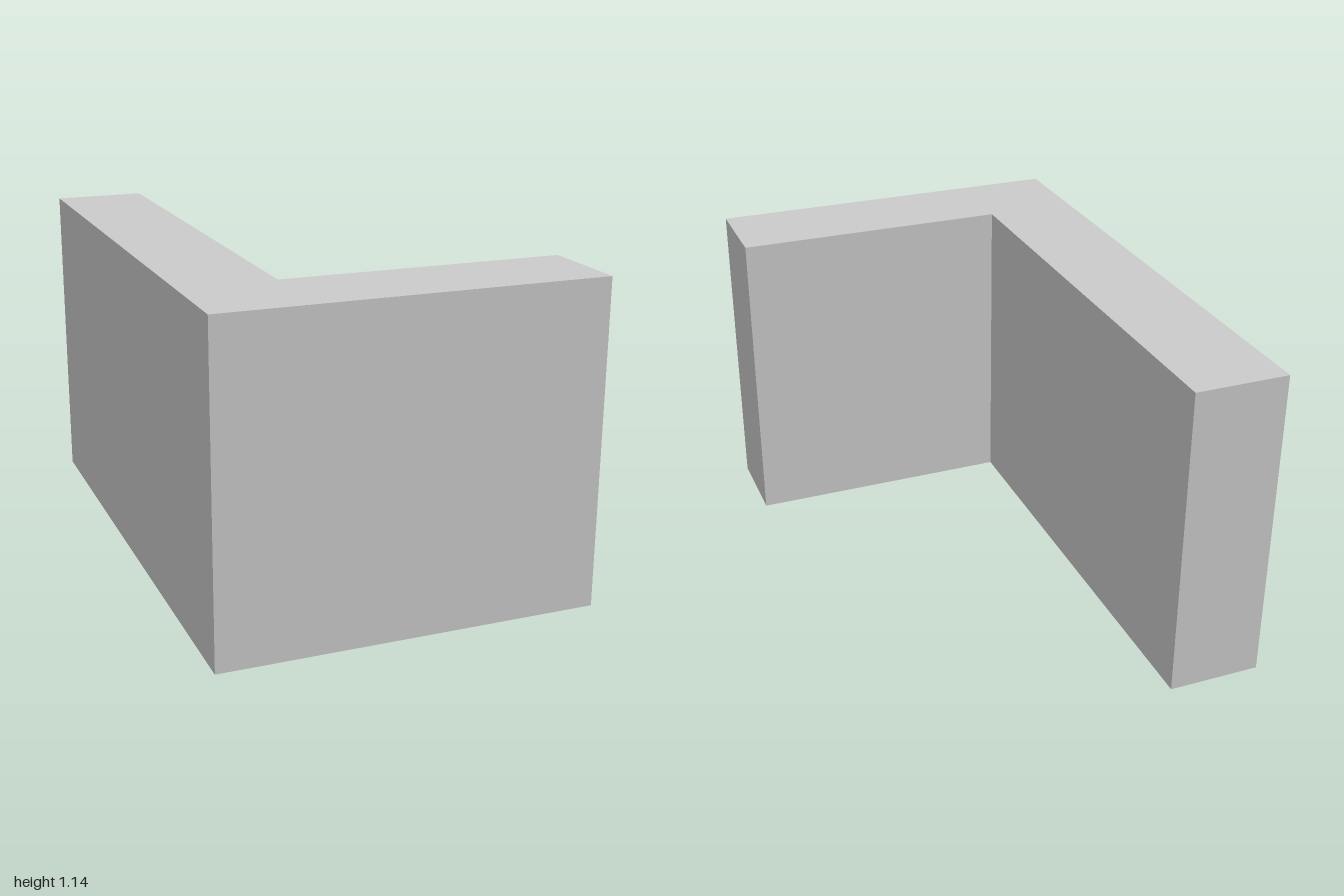
import * as THREE from 'three';

export function createModel() {
  const group = new THREE.Group();
  const halfWidth = 2 / 3, halfDepth = 1, thickness = 1 / 3, height = 1.14;

  // L-shaped floor plan (shape y is -z), extruded upwards
  const plan = new THREE.Shape([
    [-halfWidth, -halfDepth],
    [halfWidth, -halfDepth],
    [halfWidth, -halfDepth + thickness],
    [-halfWidth + thickness, -halfDepth + thickness],
    [-halfWidth + thickness, halfDepth],
    [-halfWidth, halfDepth],
  ].map(([x, y]) => new THREE.Vector2(x, y)));

  const geometry = new THREE.ExtrudeGeometry(plan, { depth: height, bevelEnabled: false });
  geometry.rotateX(-Math.PI / 2);

  const wall = new THREE.Mesh(
    geometry,
    new THREE.MeshStandardMaterial({ color: 0xcccccc, flatShading: true })
  );
  wall.name = 'cornerWall';
  group.add(wall);
  return group;
}
